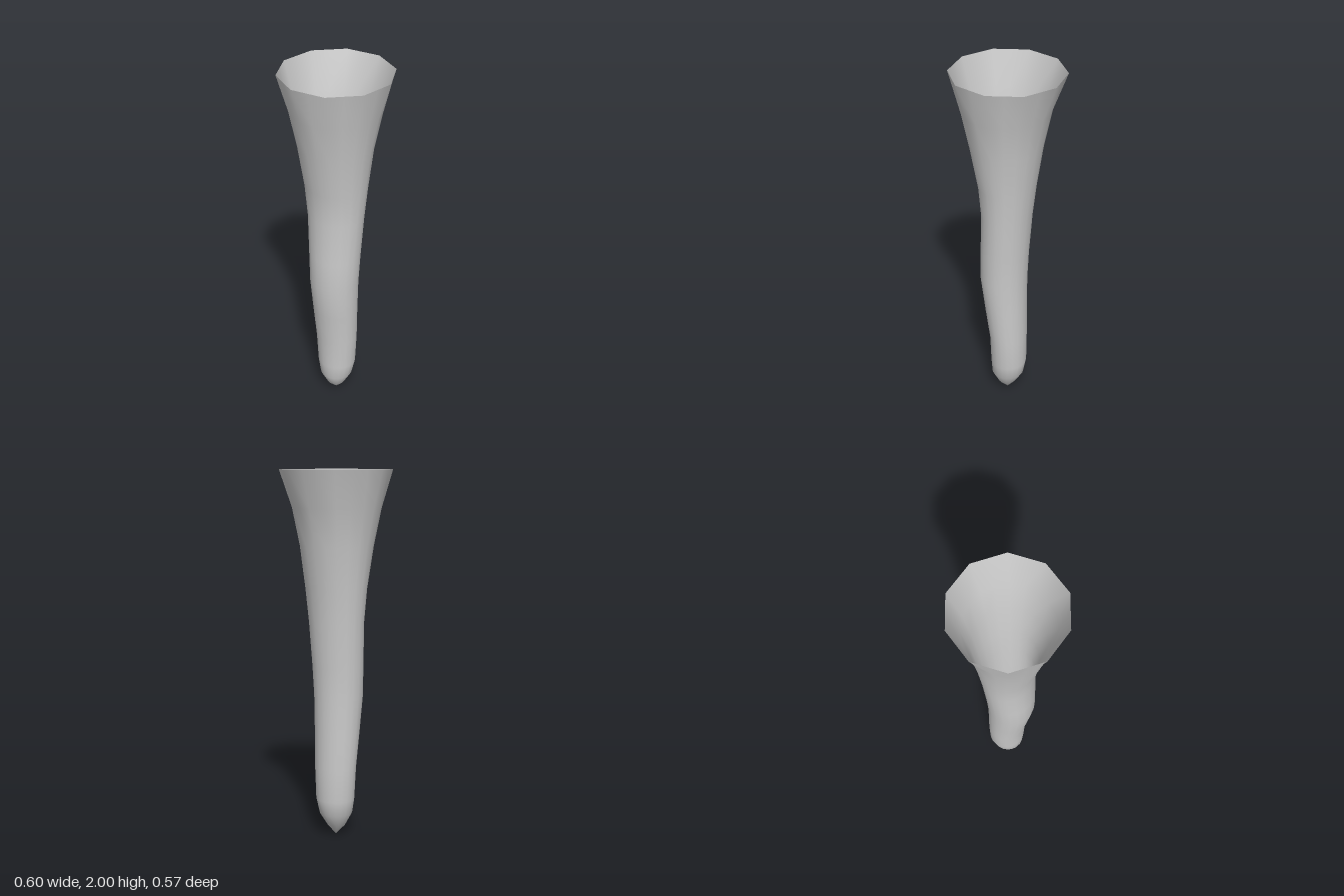
import * as THREE from 'three';

const SIDES = 20;

// Cross-sections from the tip upwards: [y, half width, front z, back z]
const SECTIONS = [
  [0.055, 0.05, 0.055, -0.045],
  [0.125, 0.09, 0.09, -0.09],
  [0.21, 0.108, 0.094, -0.106],
  [0.39, 0.118, 0.1, -0.107],
  [0.58, 0.126, 0.127, -0.105],
  [0.785, 0.135, 0.153, -0.106],
  [0.95, 0.143, 0.148, -0.113],
  [1.19, 0.156, 0.14, -0.13],
  [1.37, 0.172, 0.155, -0.15],
  [1.6, 0.2, 0.199, -0.184],
  [1.8, 0.24, 0.24, -0.225],
  [2, 0.3, 0.3, -0.3],
];

// Skin of a tapering tube that closes to a point at the bottom
function buildHorn() {
  const positions = [0, 0, 0];
  const index = [];
  SECTIONS.forEach(([y, width, front, back], ring) => {
    const last = ring === SECTIONS.length - 1;
    const middle = (front + back) / 2;
    const depth = (front - back) / 2;
    for (let i = 0; i < SIDES; i++) {
      const a = (i / SIDES) * Math.PI * 2;
      // The rim is ten-sided: every other point lies on a straight edge
      const k = last && i % 2 ? Math.cos(Math.PI / 10) : 1;
      positions.push(Math.cos(a) * width * k, y, middle + Math.sin(a) * depth * k);

      const j = (i + 1) % SIDES;
      const row = 1 + ring * SIDES;
      if (ring === 0) {
        index.push(0, row + i, row + j);
      } else {
        const below = row - SIDES;
        index.push(below + i, row + i, row + j, below + i, row + j, below + j);
      }
    }
  });
  const geometry = new THREE.BufferGeometry();
  geometry.setAttribute('position', new THREE.Float32BufferAttribute(positions, 3));
  geometry.setIndex(index);
  geometry.computeVertexNormals();
  return geometry;
}

export function createModel() {
  const group = new THREE.Group();
  group.name = 'hollowHorn';
  const material = new THREE.MeshStandardMaterial({ color: 0xcccccc, side: THREE.DoubleSide });
  const horn = new THREE.Mesh(buildHorn(), material);
  horn.name = 'flaredTube';
  group.add(horn);
  return group;
}
